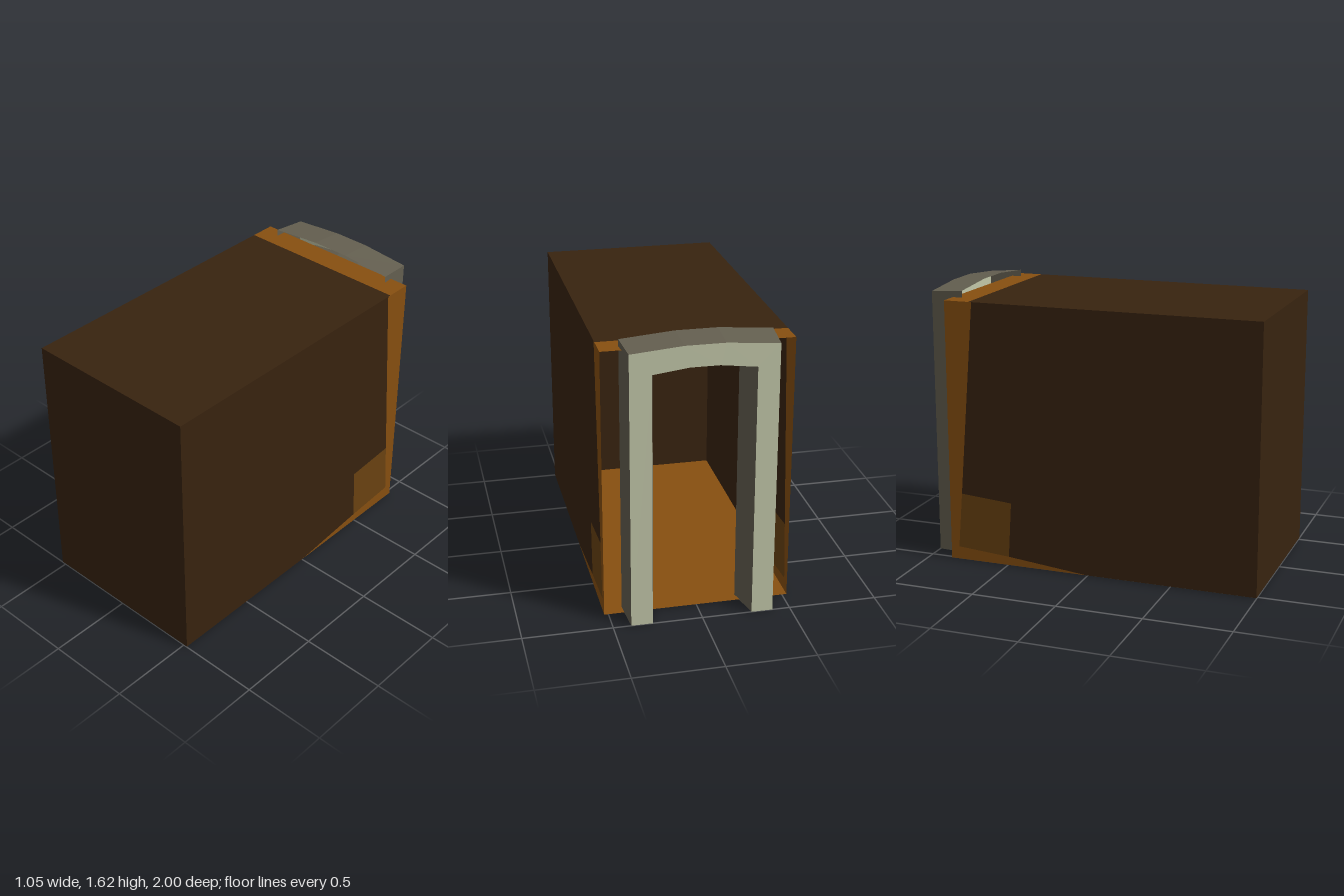
import * as THREE from 'three';

const mat = (name, color) => {
  const m = new THREE.MeshStandardMaterial({ color, side: THREE.DoubleSide });
  m.name = name;
  return m;
};

export function createModel() {
  const dark = mat('dark brown', 0x38230f);
  const orange = mat('orange brown', 0x874f10);
  const medium = mat('medium brown', 0x6a4211);
  const stone = mat('grey stone', 0x645f50);
  const pale = mat('pale stone', 0xc2c6a8);

  const group = new THREE.Group();
  const W = 0.525, H = 1.55, BACK = -0.86, FRONT = 1, FLOOR = 0.004;

  // Thin sheet made of flat quads, each given as four corners
  function quads(name, list, material) {
    const pos = [];
    for (const [a, b, c, d] of list) pos.push(...a, ...b, ...c, ...a, ...c, ...d);
    const g = new THREE.BufferGeometry();
    g.setAttribute('position', new THREE.Float32BufferAttribute(pos, 3));
    g.computeVertexNormals();
    const m = new THREE.Mesh(g, material);
    m.name = name;
    group.add(m);
  }

  // Horizontal panel between two depths
  const panel = (name, y, z0, z1, material) =>
    quads(name, [[[-W, y, z0], [-W, y, z1], [W, y, z1], [W, y, z0]]], material);

  // Hollow passage, open at the back
  panel('floor', FLOOR, BACK, FRONT, orange);
  panel('roof', H, -0.71, FRONT, dark);
  panel('roofTrim', H, BACK, -0.71, orange);
  quads('frontWall', [[[-W, FLOOR, FRONT], [W, FLOOR, FRONT], [W, H, FRONT], [-W, H, FRONT]]], dark);

  // Side walls: flat pieces drawn as (z, y), one set for each side
  const pieces = [
    ['Wall', dark, [[FRONT, FLOOR], [FRONT, H], [-0.69, H], [-0.783, 0.41], [-0.47, 0.385], [-0.49, 0.055], [0, FLOOR]]],
    ['Trim', orange, [[0, FLOOR], [-0.49, 0.055], [-0.81, 0.08], [-0.783, 0.41], [-0.69, H], [BACK, H], [BACK, FLOOR]]],
    ['Patch', medium, [[-0.49, 0.055], [-0.47, 0.385], [-0.783, 0.41], [-0.81, 0.08]]],
  ];
  for (const [side, x] of [['left', W], ['right', -W]]) {
    for (const [part, material, pts] of pieces) {
      const shape = new THREE.Shape(pts.map(p => new THREE.Vector2(...p)));
      const m = new THREE.Mesh(new THREE.ShapeGeometry(shape), material);
      m.name = side + part;
      m.rotation.y = -Math.PI / 2;
      m.position.x = x;
      group.add(m);
    }
  }

  // Door frame: hollow arched shell, open on the inward side
  const arch = (x, spring, xm, crown, z) => [
    [x, 0, z], [x, spring, z], [xm, crown, z],
    [-xm, crown, z], [-x, spring, z], [-x, 0, z],
  ];
  const outerBack = arch(0.40, 1.575, 0.11, 1.60, -1);
  const outerFront = arch(0.415, 1.59, 0.115, 1.615, -0.8);
  const innerBack = arch(0.28, 1.455, 0.08, 1.48, -1);
  const innerFront = arch(0.235, 1.395, 0.07, 1.42, -0.8);
  const strip = (a, b) => a.slice(1).map((p, i) => [a[i], p, b[i + 1], b[i]]);

  quads('frameOuter', strip(outerBack, outerFront), stone);
  quads('frameReveal', strip(innerBack, innerFront), stone);
  quads('frameFace', strip(outerBack, innerBack), pale);
  quads('frameFeet', [0, 5].map(i => [outerBack[i], outerFront[i], innerFront[i], innerBack[i]]), stone);

  return group;
}
